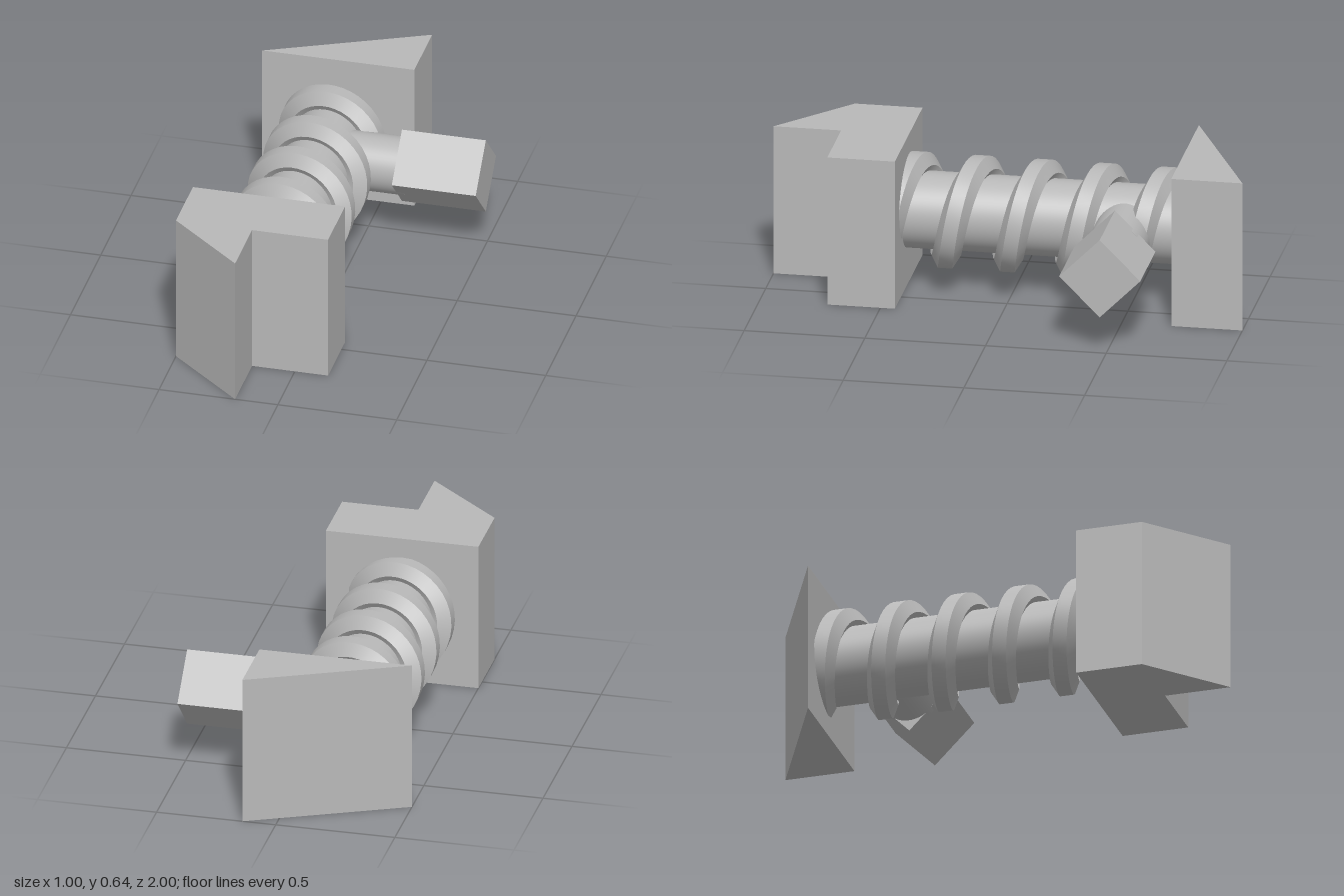
import * as THREE from 'three';
import { toCreasedNormals } from 'three/addons/utils/BufferGeometryUtils.js';

const AXIS_X = -0.18, AXIS_Y = 0.32, HEIGHT = 0.64;

// Upright prism from an outline of [x, z] points
function prism(points) {
  const shape = new THREE.Shape(points.map(([x, z]) => new THREE.Vector2(x, -z)));
  const geo = new THREE.ExtrudeGeometry(shape, { depth: HEIGHT, bevelEnabled: false });
  return geo.rotateX(-Math.PI / 2);
}

// Six-sided ridge winding around the z axis
function helix(radius, size, pitch, zAtZero, start, turns) {
  const steps = turns * 40, sides = 6, pos = [], index = [];
  for (let i = 0; i <= steps; i++) {
    const t = start + (i / steps) * turns * Math.PI * 2;
    for (let k = 0; k < sides; k++) {
      const a = Math.PI / 6 + (k / sides) * Math.PI * 2;
      const r = radius + size * Math.cos(a);
      pos.push(r * Math.cos(t), r * Math.sin(t),
        zAtZero - (pitch * t) / (Math.PI * 2) + size * Math.sin(a));
      if (i < steps) {
        const p = i * sides + k, q = i * sides + (k + 1) % sides;
        index.push(p, p + sides, q + sides, p, q + sides, q);
      }
    }
  }
  const geo = new THREE.BufferGeometry();
  geo.setAttribute('position', new THREE.Float32BufferAttribute(pos, 3));
  geo.setIndex(index);
  return toCreasedNormals(geo, 0.5);
}

export function createModel() {
  const group = new THREE.Group();
  const grey = new THREE.MeshStandardMaterial({ color: 0xb8b8b8 });
  grey.name = 'grey';

  function add(name, geo, x = 0, y = 0, z = 0) {
    const mesh = new THREE.Mesh(geo, grey);
    mesh.name = name;
    mesh.position.set(x, y, z);
    group.add(mesh);
  }

  // End blocks
  add('frontBlock', prism([[-0.5, 0.44], [-0.5, 0.72], [-0.18, 1], [-0.18, 0.72], [0.14, 0.72], [0.14, 0.44]]));
  add('backWedge', prism([[-0.5, -0.705], [0.14, -0.705], [0.14, -1]]));

  // Main shaft with its screw thread
  const shaft = new THREE.CylinderGeometry(0.16, 0.16, 1.17, 64).rotateX(Math.PI / 2);
  add('shaft', shaft, AXIS_X, AXIS_Y, -0.13);
  add('thread', helix(0.183, 0.06, 0.258, 0.225, -2.5 * Math.PI, 5), AXIS_X, AXIS_Y, 0);

  // Side handle: round neck and a square grip turned on edge
  const neck = new THREE.CylinderGeometry(0.12, 0.12, 0.36, 48).rotateZ(Math.PI / 2);
  add('handleNeck', neck, 0, AXIS_Y, -0.475);
  const side = 0.168 * Math.SQRT2;
  const grip = new THREE.BoxGeometry(0.353, side, side).rotateX(Math.PI / 4);
  add('handleGrip', grip, 0.3235, 0.322, -0.473);

  return group;
}
